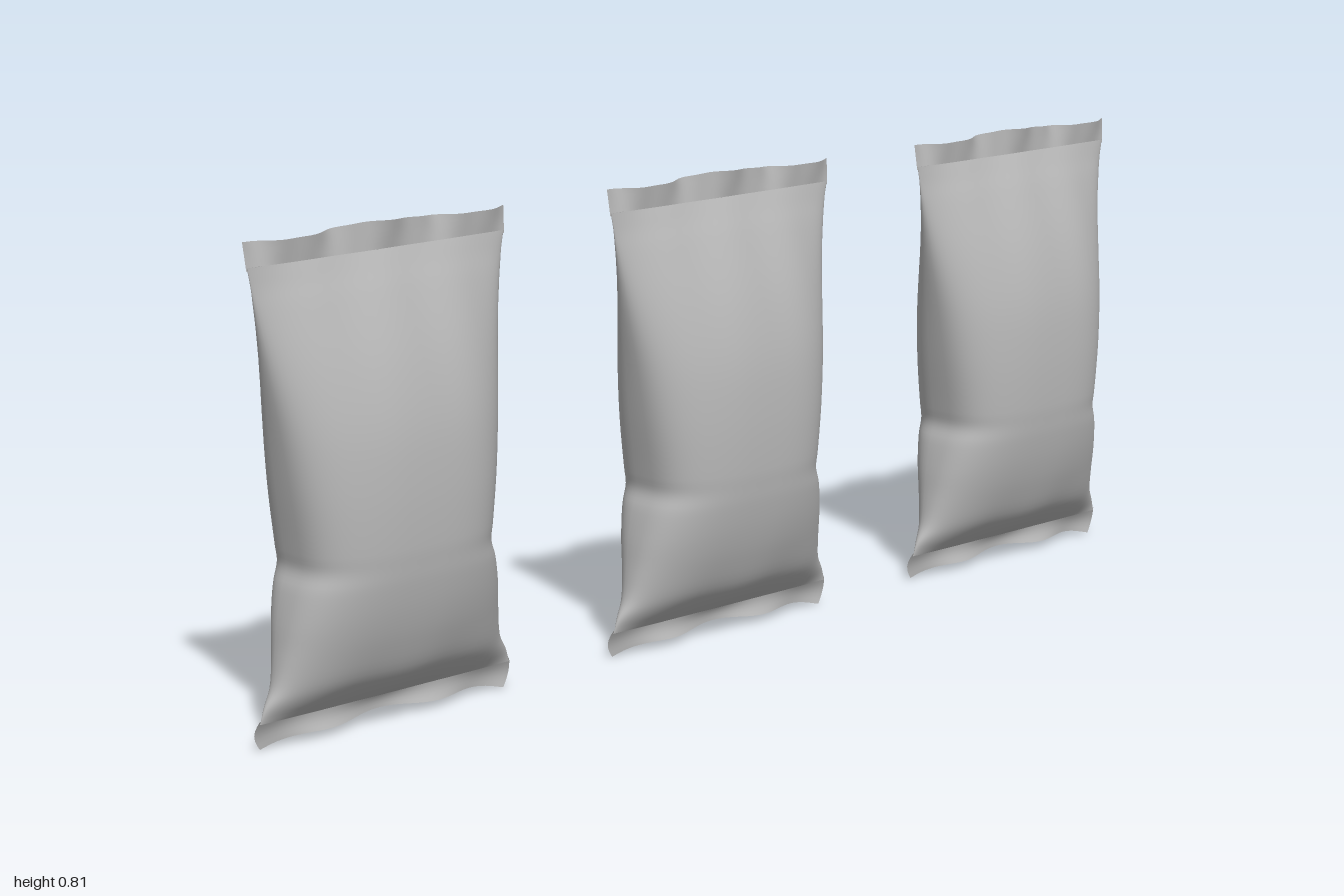
import * as THREE from 'three';

// Pouch profile from bottom to top: y, half width, half depth, roundness of the section
const PROFILE = [
  [0.045, 0.254, 0.003, 1.8], [0.07, 0.245, 0.034, 2.0], [0.1, 0.227, 0.06, 2.2],
  [0.15, 0.215, 0.081, 2.4], [0.2, 0.206, 0.095, 2.6], [0.25, 0.193, 0.104, 2.8],
  [0.28, 0.181, 0.107, 2.9], [0.31, 0.184, 0.109, 2.9], [0.4, 0.197, 0.108, 2.8],
  [0.5, 0.211, 0.098, 2.6], [0.6, 0.227, 0.073, 2.3], [0.7, 0.243, 0.034, 2.0],
  [0.74, 0.249, 0.015, 1.8], [0.765, 0.254, 0.003, 1.8],
];
const sizes = new THREE.CatmullRomCurve3(PROFILE.map(([y, w, d]) => new THREE.Vector3(w, y, d)));
const rounds = new THREE.CatmullRomCurve3(PROFILE.map(([y, , , p]) => new THREE.Vector3(p, y, 0)));

// Smooth sheet from a rule f(u, v) -> [x, y, z]
function sheet(nu, nv, f, wrap = false) {
  const pos = [], idx = [], cols = wrap ? nu : nu + 1;
  for (let j = 0; j <= nv; j++)
    for (let i = 0; i < cols; i++) pos.push(...f(i / nu, j / nv));
  for (let j = 0; j < nv; j++)
    for (let i = 0; i < nu; i++) {
      const a = j * cols + i, b = j * cols + ((i + 1) % cols), c = a + cols, d = b + cols;
      idx.push(a, c, b, b, c, d);
    }
  const g = new THREE.BufferGeometry();
  g.setAttribute('position', new THREE.Float32BufferAttribute(pos, 3));
  g.setIndex(idx);
  g.computeVertexNormals();
  return g;
}

const power = (c, p) => Math.sign(c) * Math.pow(Math.abs(c), 2 / p);

// Depth factor for soft creases running out from the seals
function crease(x, y) {
  const top = Math.exp(-(0.765 - y) / 0.09), bottom = Math.exp(-(y - 0.045) / 0.04);
  return 1 + 0.16 * top * Math.cos(x * 44 + 0.6) + 0.1 * bottom * Math.cos(x * 38);
}

// Inflated pouch
function bodyPoint(u, v) {
  const s = sizes.getPoint(v), p = rounds.getPoint(v).x, t = u * Math.PI * 2;
  const x = s.x * power(Math.cos(t), p);
  return [x, s.y, s.z * power(Math.sin(t), p) * crease(x, s.y)];
}

// Back seam lying on the pouch, with one edge lifted
function seamPoint(u, v) {
  const s = sizes.getPoint(v), p = rounds.getPoint(v).x;
  const x = -0.005 - 0.045 * u;
  const z = s.z * Math.pow(1 - Math.pow(Math.abs(x) / s.x, p), 1 / p) * crease(x, s.y);
  const lift = 0.002 + 0.006 * (1 - u) * Math.sin(Math.PI * v);
  return [x, s.y, -z - lift];
}

// Closing edge of the seam fin
function finPoint(u, v) {
  const [x, y, z] = seamPoint(0, v);
  return [x, y, z + 0.01 * (1 - u)];
}

// Flat crimped seals, waving a little towards their free edges
function topSeal(u, v) {
  const k = u * 2 - 1, x = 0.255 * k;
  const edge = 0.806 + 0.004 * Math.cos(k * 4.5);
  const z = v * (0.008 * Math.sin(k * 9 + 0.7) + 0.003 * Math.sin(k * 23));
  return [x * (1 + 0.012 * v), 0.76 + (edge - 0.76) * v, z];
}
function bottomSeal(u, v) {
  const k = u * 2 - 1;
  const edge = 0.016 - 0.016 * Math.pow(Math.abs(k), 3) + 0.003 * Math.cos(k * 8);
  const w = 0.254 + 0.006 * Math.sin(Math.PI * v) - 0.008 * v * v;
  const z = v * (0.004 + 0.009 * Math.sin(k * 7 + 1)) + 0.004 * Math.sin(v * Math.PI);
  return [-w * k, 0.05 + (Math.max(edge, 0) - 0.05) * v, -z];
}

export function createModel() {
  const foil = new THREE.MeshStandardMaterial({ color: 0xb8b8b8, side: THREE.DoubleSide });
  foil.name = 'grey foil';

  const parts = {
    pouch: sheet(72, 56, bodyPoint, true),
    backSeam: sheet(4, 48, seamPoint),
    seamEdge: sheet(1, 48, finPoint),
    topSeal: sheet(60, 4, topSeal),
    bottomSeal: sheet(60, 6, bottomSeal),
  };

  const model = new THREE.Group();
  model.name = 'snackBags';
  ['rightBag', 'middleBag', 'leftBag'].forEach((name, i) => {
    const bag = new THREE.Group();
    bag.name = name;
    for (const [part, geometry] of Object.entries(parts)) {
      const mesh = new THREE.Mesh(geometry, foil);
      mesh.name = part;
      bag.add(mesh);
    }
    bag.position.x = (i - 1) * 0.74;
    model.add(bag);
  });
  return model;
}
